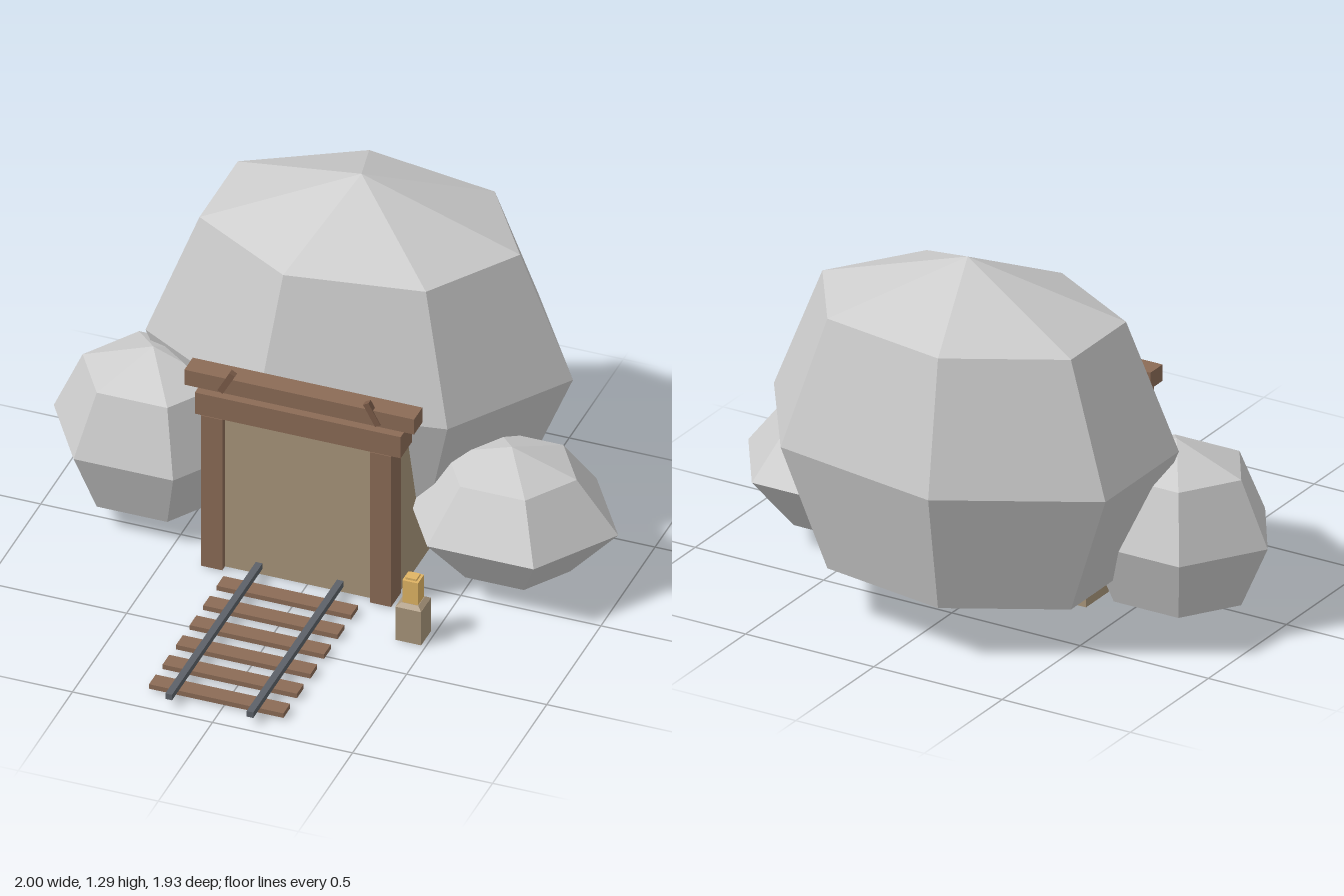
import * as THREE from 'three';

const mat = (color) => new THREE.MeshStandardMaterial({ color, flatShading: true });

export function createModel() {
  const model = new THREE.Group();
  const stone = mat(0xcccccc);
  const wood = mat(0x8b6b56);
  const darkWood = mat(0x7a5b48);
  const clay = mat(0xa8957a);
  const steel = mat(0x5c6168);
  const glow = mat(0xe0b464);

  const add = (name, geometry, material, x, y, z) => {
    const mesh = new THREE.Mesh(geometry, material);
    mesh.name = name;
    mesh.position.set(x, y, z);
    model.add(mesh);
    return mesh;
  };

  // Box given by its minimum and maximum corners
  const box = (name, material, [x0, y0, z0], [x1, y1, z1]) =>
    add(name, new THREE.BoxGeometry(x1 - x0, y1 - y0, z1 - z0), material,
      (x0 + x1) / 2, (y0 + y1) / 2, (z0 + z1) / 2);

  // Faceted boulder: five-point profile turned with few sides, one corner on +x
  const boulder = (name, sides, center, radii, lower, upper) => {
    const profile = [[0, -1], [lower, -0.71], [1, 0], [upper, 0.71], [0, 1]]
      .map(([r, y]) => new THREE.Vector2(r, y));
    const geometry = new THREE.LatheGeometry(profile, sides, Math.PI / 2);
    geometry.scale(...radii);
    add(name, geometry, stone, ...center);
  };
  boulder('mainBoulder', 7, [-0.025, 0.645, -0.44], [0.755, 0.645, 0.543], 0.75, 0.75);
  boulder('rightBoulder', 6, [-0.645, 0.323, -0.12], [0.355, 0.323, 0.318], 0.71, 0.71);
  boulder('leftBoulder', 6, [0.62, 0.263, -0.16], [0.38, 0.263, 0.335], 0.55, 0.61);

  // Entrance block and timber frame
  box('entranceBlock', clay, [-0.365, 0.005, -0.24], [0.305, 0.605, 0.13]);
  for (const x of [-0.33, 0.273])
    box('post', wood, [x - 0.038, 0.005, 0.065], [x + 0.038, 0.61, 0.155]);
  box('lintel', wood, [-0.39, 0.612, 0.052], [0.345, 0.697, 0.155]);
  box('topBeam', wood, [-0.435, 0.705, 0.058], [0.385, 0.765, 0.135]);
  for (const side of [-1, 1]) {
    const brace = add('brace', new THREE.BoxGeometry(0.022, 0.09, 0.022), darkWood,
      -0.025 + side * 0.26, 0.748, 0.127);
    brace.rotation.z = side * 0.5;
  }

  // Track
  for (let i = 0; i < 6; i++) {
    const z = 0.245 + i * 0.125;
    box('sleeper', wood, [-0.265, 0.008, z - 0.031], [0.215, 0.026, z + 0.031]);
  }
  for (const x of [-0.17, 0.12])
    box('rail', steel, [x - 0.012, 0.028, 0.1], [x + 0.012, 0.05, 0.965]);

  // Lantern on a bevelled block
  box('lanternBase', clay, [0.393, 0.003, 0.238], [0.485, 0.137, 0.328]);
  const bevel = new THREE.CylinderGeometry(0.043, 0.065, 0.012, 4);
  bevel.rotateY(Math.PI / 4);
  add('lanternCollar', bevel, clay, 0.439, 0.143, 0.283);
  box('lanternLight', glow, [0.411, 0.149, 0.255], [0.467, 0.237, 0.311]);
  box('lanternCap', glow, [0.42, 0.237, 0.264], [0.458, 0.245, 0.302]);

  return model;
}
